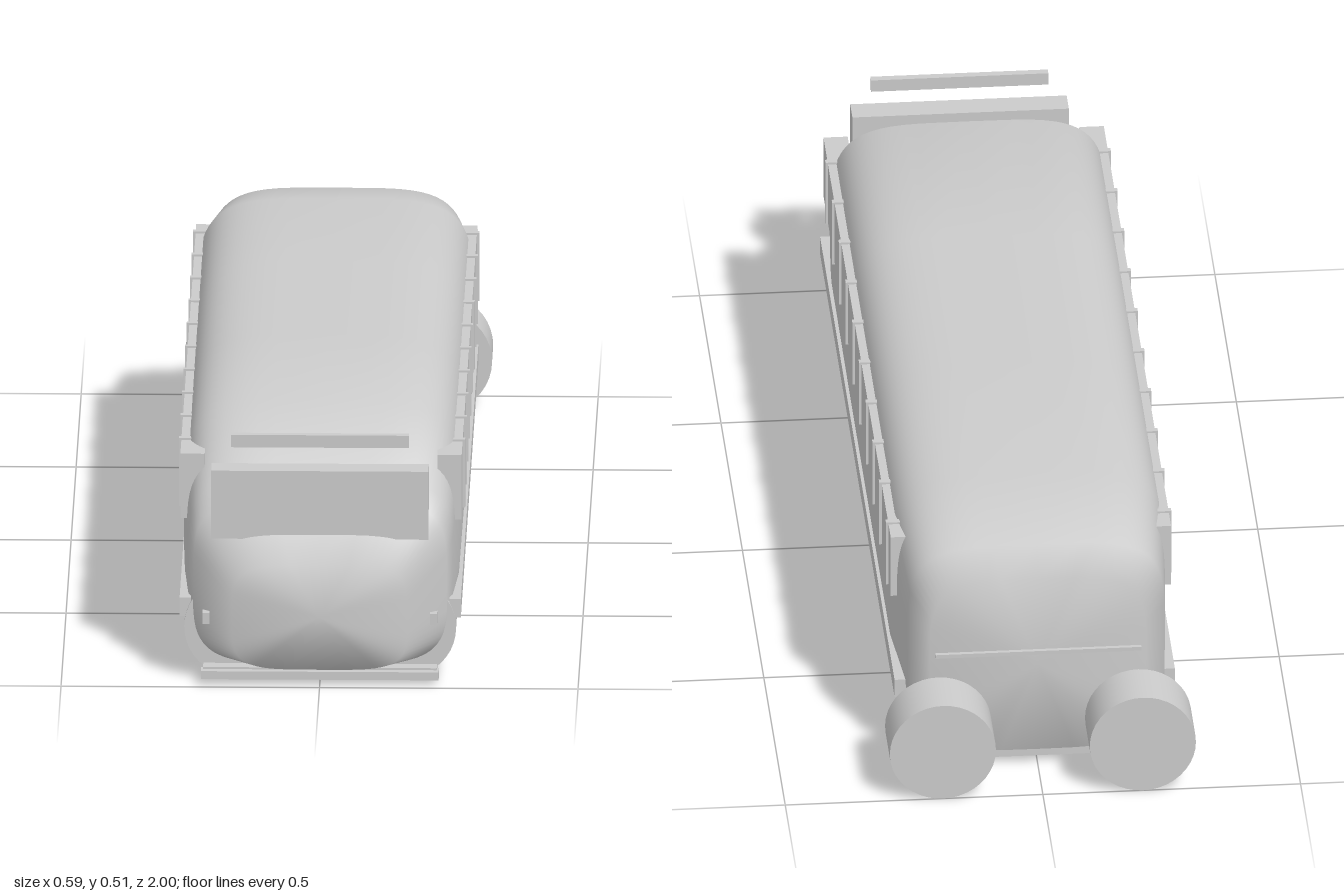
import * as THREE from 'three';

const material = new THREE.MeshStandardMaterial({ color: 0xcccccc });

// Smooth hull lofted front to back through superellipse sections [z, halfWidth, yBottom, yTop]
function loft(sections, sides = 64, power = 4.3) {
  const positions = [], index = [];
  const round = (v) => Math.sign(v) * Math.abs(v) ** (2 / power);
  for (const [z, w, y0, y1] of sections) {
    for (let j = 0; j < sides; j++) {
      const a = (j / sides) * Math.PI * 2;
      positions.push(w * round(Math.cos(a)), (y0 + y1) / 2 + ((y1 - y0) / 2) * round(Math.sin(a)), z);
    }
  }
  const last = sections.length - 1;
  for (const k of [0, last]) {
    const [z, , y0, y1] = sections[k];
    positions.push(0, (y0 + y1) / 2, z);
  }
  const frontCentre = sections.length * sides;
  for (let j = 0; j < sides; j++) {
    const n = (j + 1) % sides;
    for (let i = 0; i < last; i++) {
      const a = i * sides + j, b = a + sides, c = i * sides + n, d = c + sides;
      index.push(a, b, c, c, b, d);
    }
    index.push(frontCentre, j, n, frontCentre + 1, last * sides + n, last * sides + j);
  }
  const geometry = new THREE.BufferGeometry();
  geometry.setAttribute('position', new THREE.Float32BufferAttribute(positions, 3));
  geometry.setIndex(index);
  geometry.computeVertexNormals();
  return geometry;
}

export function createModel() {
  const group = new THREE.Group();
  const add = (name, geometry, x = 0, y = 0, z = 0) => {
    const mesh = new THREE.Mesh(geometry, material);
    mesh.name = name;
    mesh.position.set(x, y, z);
    group.add(mesh);
    return mesh;
  };
  // Box given by its extents on each axis
  const box = (name, x0, x1, y0, y1, z0, z1) =>
    add(name, new THREE.BoxGeometry(x1 - x0, y1 - y0, z1 - z0), (x0 + x1) / 2, (y0 + y1) / 2, (z0 + z1) / 2);

  // Coach body with sloping nose and rounded tail
  add('body', loft([
    [1.0, 0.17, 0.04, 0.25],
    [0.94, 0.245, 0.034, 0.365],
    [0.9, 0.256, 0.034, 0.4],
    [0.75, 0.267, 0.034, 0.51],
    [0.3, 0.268, 0.034, 0.51],
    [-0.2, 0.268, 0.034, 0.51],
    [-0.63, 0.268, 0.034, 0.51],
    [-0.84, 0.25, 0.036, 0.47],
    [-0.888, 0.21, 0.042, 0.42],
  ]));

  // Floor plate and the shallow panel under it
  box('floorPlate', -0.226, 0.226, 0.012, 0.034, -0.86, 0.965);
  box('underPanel', -0.155, 0.155, 0.006, 0.014, -0.71, 0.87);
  box('frontBumper', -0.23, 0.23, 0.014, 0.03, 0.95, 0.98);

  // Windscreen and destination sign
  box('windscreen', -0.21, 0.21, 0.295, 0.432, 0.92, 0.972);
  box('destinationSign', -0.172, 0.172, 0.475, 0.5, 0.942, 0.957);

  // Trim bar across the tail
  box('rearTrim', -0.2, 0.2, 0.256, 0.264, -0.896, -0.88);

  for (const side of [1, -1]) {
    const label = side > 0 ? 'left' : 'right';
    const sideBox = (name, x0, x1, ...rest) =>
      box(label + name, Math.min(side * x0, side * x1), Math.max(side * x0, side * x1), ...rest);

    // Window band with pillars, and the belt moulding below
    sideBox('WindowBand', 0.225, 0.272, 0.3, 0.43, -0.72, 0.85);
    for (let i = 0; i < 10; i++) {
      const z = 0.75 - i * 0.157;
      sideBox('WindowPillar', 0.225, 0.277, 0.297, 0.434, z - 0.006, z + 0.006);
    }
    sideBox('BeltMoulding', 0.25, 0.272, 0.126, 0.164, -0.81, 0.93);

    // Headlight
    sideBox('Headlight', 0.213, 0.227, 0.125, 0.147, 0.945, 0.978);

    // Wheels, axles along z
    const rear = new THREE.CylinderGeometry(0.103, 0.103, 0.112, 40).rotateX(Math.PI / 2);
    add(label + 'RearWheel', rear, side * 0.194, 0.107, -0.944);
    const front = new THREE.CylinderGeometry(0.1, 0.1, 0.095, 40).rotateX(Math.PI / 2);
    add(label + 'FrontWheel', front, side * 0.163, 0.107, 0.888);
  }
  return group;
}
